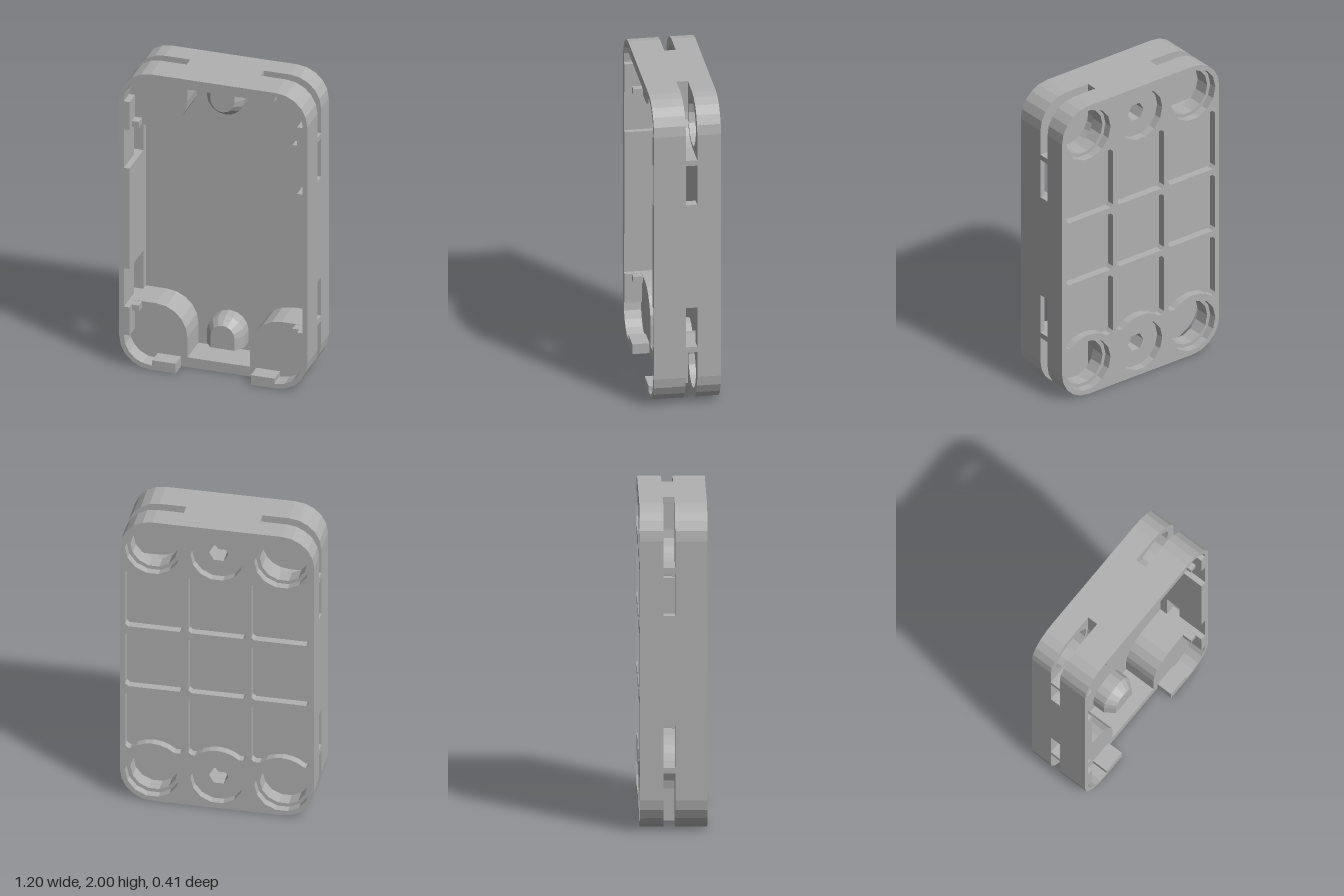
import * as THREE from 'three';

// Points on an arc, angles in quarter turns
function arc(cx, cy, r, a0, a1, n = 5) {
  const pts = [];
  for (let i = 0; i <= n; i++) {
    const a = (a0 + (a1 - a0) * i / n) * Math.PI / 2;
    pts.push([cx + r * Math.cos(a), cy + r * Math.sin(a)]);
  }
  return pts;
}

const circle = (cx, cy, r, n) => arc(cx, cy, r, 0, 4, n).slice(0, n);
const flip = (pts, sx, sy) => pts.map(([x, y]) => [x * sx, y * sy]);

// Closed outline from its upper right quarter, starting at bottom centre
function ring(q) {
  return [
    ...flip(q, 1, -1).reverse(), ...q.slice(1),
    ...flip(q, -1, 1).reverse().slice(1), ...flip(q, -1, -1).slice(1),
  ];
}

const vec = (pts) => pts.map(([x, y]) => new THREE.Vector2(x, y));

function slab(outline, holes, z0, z1) {
  const shape = new THREE.Shape(vec(outline));
  for (const h of holes) shape.holes.push(new THREE.Path(vec(h)));
  const geo = new THREE.ExtrudeGeometry(shape, { depth: z1 - z0, bevelEnabled: false });
  return geo.translate(0, 0, z0);
}

export function createModel() {
  const model = new THREE.Group();
  model.name = 'enclosureShell';
  const body = new THREE.Group();
  body.position.y = 1;
  model.add(body);
  const grey = new THREE.MeshStandardMaterial({ color: 0xb0b0b0 });
  grey.name = 'plain grey';

  const add = (name, geo) => {
    const mesh = new THREE.Mesh(geo, grey);
    mesh.name = name;
    body.add(mesh);
    return mesh;
  };

  // Levels from back to front
  const Z = { back: -0.205, pocket: -0.155, floor: -0.11, slot0: -0.06, slot1: 0.01, boss: 0.1, rim: 0.205 };
  const corners = [[1, 1], [-1, 1], [-1, -1], [1, -1]];

  // Outlines: outside, cavity around the corner bosses, and open rim
  const outer = ring([[0.6, 0], ...arc(0.4, 0.8, 0.2, 0, 1), [0, 1]]);
  const bossArc = arc(0.4, 0.8, 0.2, 3, 2);
  const cavity = ring([[0.535, 0], [0.535, 0.6], ...bossArc, [0.2, 0.935], [0, 0.935]]);
  const recess = [[0.535, 0], [0.535, 0.34], [0.57, 0.34], [0.57, 0.6]];
  const cavityRecessed = ring([...recess, ...bossArc, [0.2, 0.935], [0, 0.935]]);
  const rimInner = ring([
    ...recess, [0.535, 0.6], [0.535, 0.79], [0.57, 0.79],
    ...arc(0.4, 0.8, 0.17, 0, 1), [0.39, 0.97], [0.39, 0.935], [0, 0.935],
  ]);

  // Back plate: nine pockets, the end rows curving around the holes
  const pockets = [];
  for (const col of [-1, 0, 1]) {
    const cx = col * 0.39, l = cx - 0.178, r = cx + 0.178, c = 0.018;
    pockets.push([
      [l + c, -0.195], [r - c, -0.195], [r, -0.195 + c], [r, 0.195 - c],
      [r - c, 0.195], [l + c, 0.195], [l, 0.195 - c], [l, -0.195 + c],
    ]);
    const a = Math.asin(0.16 / 0.21) / (Math.PI / 2);
    const end = [
      [l, 0.64 - c], [l, 0.235 + c], [l + c, 0.235], [r - c, 0.235], [r, 0.235 + c],
      [r, 0.64 - c], [r - c, 0.64], ...arc(col * 0.4, 0.8, 0.21, 4 - a, 2 + a, 6), [l + c, 0.64],
    ];
    pockets.push(end, flip(end, 1, -1));
  }
  const bores = corners.map(([sx, sy]) => circle(0.4 * sx, 0.8 * sy, 0.17, 14));
  const midBores = [0.8, -0.8].map((y) => circle(0, y, 0.165, 14));
  add('backGrid', slab(outer, [...pockets, ...bores, ...midBores], Z.back, Z.pocket));

  // Floor skin with screw holes
  const holes = corners.map(([sx, sy]) => circle(0.4 * sx, 0.8 * sy, 0.147, 14));
  const hexes = [0.8, -0.8].map((y) => circle(0, y, 0.06, 6));
  add('floorPlate', slab(outer, [...holes, ...hexes], Z.pocket, Z.floor));

  // Walls with hollow corner bosses below the slots
  add('lowerWall', slab(outer, [cavity, ...holes], Z.floor, Z.slot0));

  // Slotted band: curved boss walls at the corners, bars between
  const strip = [
    [0.2, 1], ...arc(0.4, 0.8, 0.2, 2, 3), [0.6, 0.6], [0.6, 0.635],
    ...arc(0.4, 0.8, 0.165, 3, 2), [0.235, 1],
  ];
  for (const [sx, sy] of corners) add('slotBossWall', slab(flip(strip, sx, sy), [], Z.slot0, Z.slot1));
  const bar = (name, x, y, w, h) => {
    const geo = new THREE.BoxGeometry(w, h, Z.slot1 - Z.slot0);
    add(name, geo.translate(x, y, (Z.slot0 + Z.slot1) / 2));
  };
  for (const s of [1, -1]) {
    bar('slotEndBar', 0, s * 0.9675, 0.4, 0.065);
    bar('slotSideBar', s * 0.5675, 0, 0.065, 0.68);
  }

  // Walls with closed boss tops above the slots
  add('upperWall', slab(outer, [cavityRecessed], Z.slot1, Z.boss));

  // Front rim, open along the middle of the bottom edge
  const rim = [
    [0.24, -1], ...outer.slice(1, -1), [-0.24, -1],
    [-0.24, -0.935], ...rimInner.slice(1, -1).reverse(), [0.24, -0.935],
  ];
  add('frontRim', slab(rim, [], Z.boss, Z.rim));

  // Small retaining tabs beside the corner bosses
  for (const [sx, sy] of corners) {
    const tab = new THREE.BoxGeometry(0.045, 0.04, 0.06);
    add('retainingTab', tab.translate(0.5125 * sx, 0.622 * sy, 0.13));
  }

  // Middle screw bosses: hollow base and tapered cap
  for (const [y, length, turn] of [[-0.8, 0.08, 0], [0.8, 0.136, Math.PI]]) {
    const outline = [[-0.12, -length], [0.12, -length], ...arc(0, 0, 0.12, 0, 2, 8)];
    const base = slab(outline, [circle(0, 0, 0.06, 6)], Z.floor, -0.03);
    const cap = slab(outline, [], -0.03, 0.03);
    const p = cap.attributes.position;
    for (let i = 0; i < p.count; i++) {
      if (p.getZ(i) < 0) continue;
      p.setX(i, p.getX(i) * 0.64);
      if (p.getY(i) > 0) p.setY(i, p.getY(i) * 0.64);
    }
    cap.computeVertexNormals();
    for (const [name, geo] of [['middleBossBase', base], ['middleBossCap', cap]]) {
      add(name, geo.rotateZ(turn).translate(0, y, 0));
    }
  }
  return model;
}
